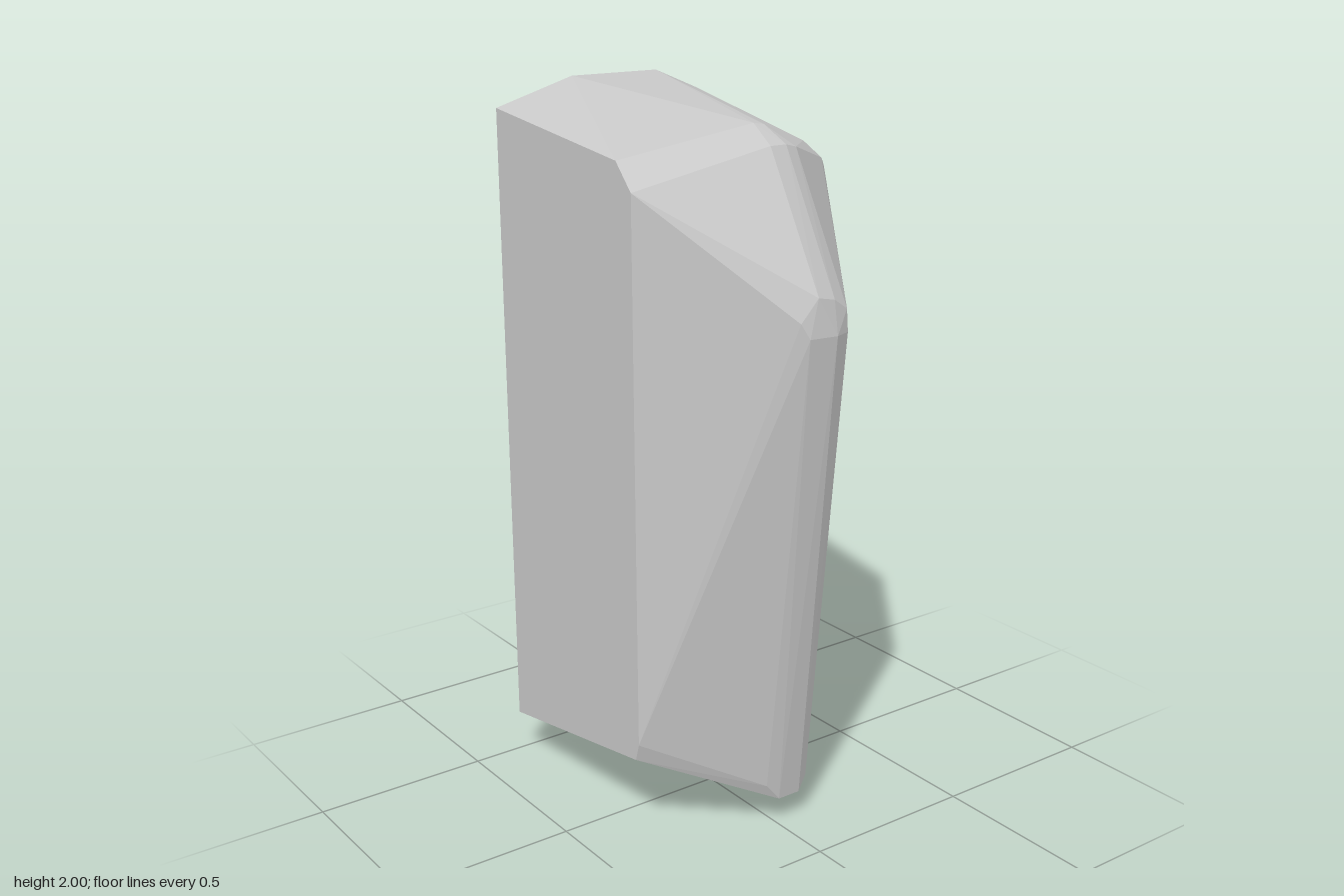
import * as THREE from 'three';
import { ConvexGeometry } from 'three/addons/geometries/ConvexGeometry.js';

export function createModel() {
  const group = new THREE.Group();
  group.name = 'rock';
  const stone = new THREE.MeshStandardMaterial({ color: 0xc7c7c7 });
  stone.name = 'pale grey stone';

  // Flat sawn back, as an outline in x, y
  const back = [
    [-0.37, 1.93], [-0.13, 2], [0.15, 2], [0.295, 1.94], [0.355, 1.87], [0.368, 1.8],
    [0.368, 0.26], [0.32, 0.2], [0.12, 0.03], [0.05, 0.003], [0, 0], [-0.06, 0.012], [-0.37, 0.14],
  ].map(([x, y]) => [x, y, -0.465]);

  // Front edge of the flat side
  const side = [[1.86, 0.11], [1.79, 0.175], [0.3, 0.175], [0.25, 0.16]]
    .map(([y, z]) => [-0.37, y, z]);

  // Worn shoulder where the top turns down to the front
  const shoulder = [
    [0, 1.93, 0.18], [0.03, 1.925, 0.185], [0, 1.88, 0.25], [0.05, 1.88, 0.25],
    [0.09, 1.87, 0.24], [0.22, 1.86, 0.11], [0.28, 1.81, 0.115],
  ];

  // Blunt nose
  const nose = [
    [-0.05, 1.47, 0.442], [0, 1.53, 0.448], [0.05, 1.52, 0.45], [0.095, 1.49, 0.445],
    [0.098, 1.43, 0.447], [-0.03, 1.43, 0.455], [0.05, 1.43, 0.465],
  ];

  // Foot of the front ridge and the vertical corner beside it
  const foot = [
    [-0.04, 0.13, 0.315], [0, 0.08, 0.32], [0.07, 0.08, 0.32], [0.1, 0.12, 0.312],
    [0.288, 1.79, 0.115], [0.288, 0.28, 0.115], [0.34, 0.7, -0.12],
  ];

  const points = [...back, ...side, ...shoulder, ...nose, ...foot]
    .map((p) => new THREE.Vector3(...p));
  const rock = new THREE.Mesh(new ConvexGeometry(points), stone);
  rock.name = 'rockBody';
  group.add(rock);
  return group;
}
